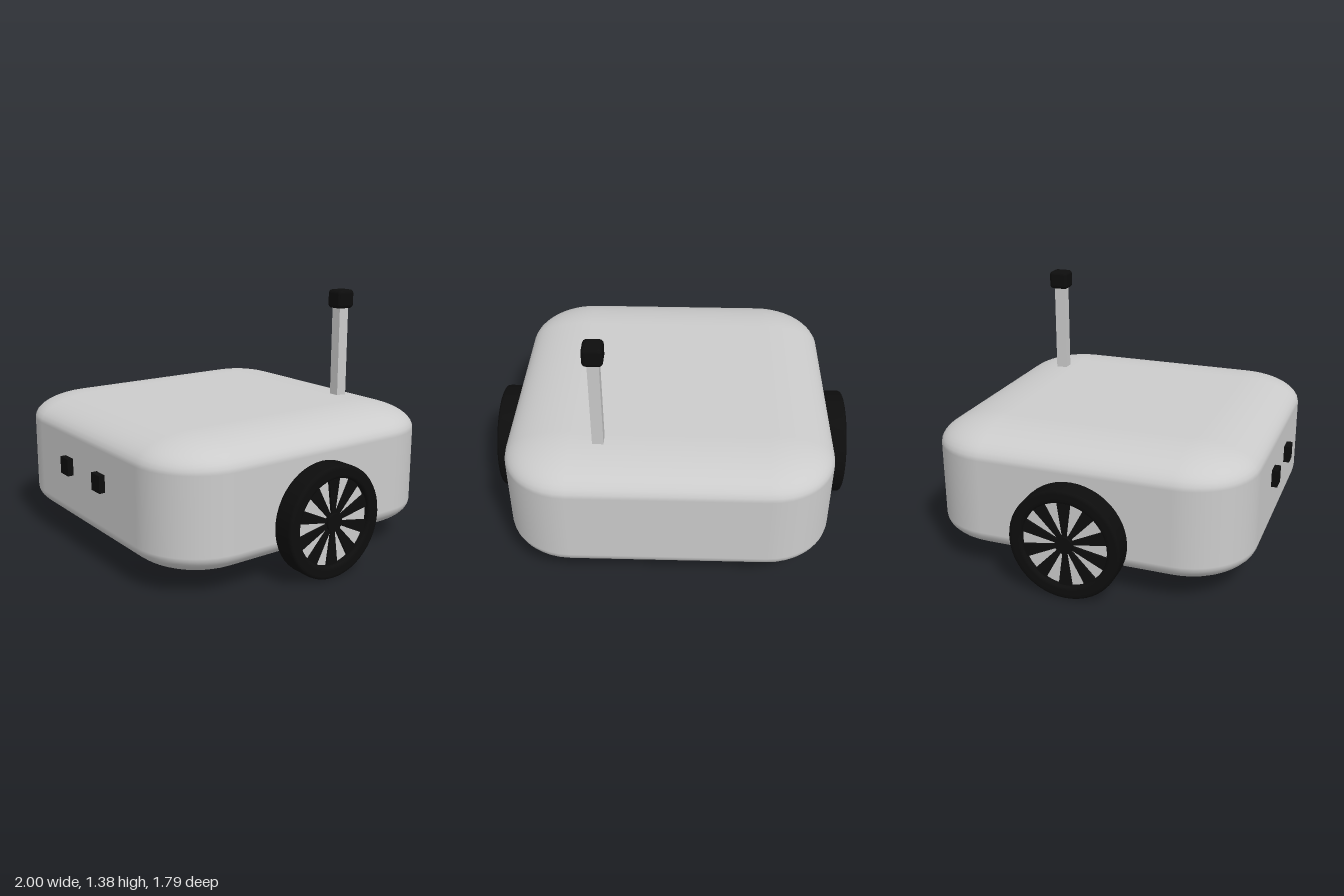
import * as THREE from 'three';
import { RoundedBoxGeometry } from 'three/addons/geometries/RoundedBoxGeometry.js';

const grey = new THREE.MeshStandardMaterial({ color: 0xcccccc });
const black = new THREE.MeshStandardMaterial({ color: 0x0d0d0d });

function part(parent, name, geometry, material, x = 0, y = 0, z = 0) {
  const mesh = new THREE.Mesh(geometry, material);
  mesh.name = name;
  mesh.position.set(x, y, z);
  parent.add(mesh);
  return mesh;
}

// Wheel built around its own z axis, outer face towards +z
function makeWheel(name) {
  const wheel = new THREE.Group();
  wheel.name = name;
  const half = 0.0625, inner = 0.23, outer = 0.3, r = 0.02;

  // Tyre: closed rectangular section with rounded corners
  const section = new THREE.Shape();
  section.moveTo(inner, -half + r);
  section.quadraticCurveTo(inner, -half, inner + r, -half);
  section.lineTo(outer - r, -half);
  section.quadraticCurveTo(outer, -half, outer, -half + r);
  section.lineTo(outer, half - r);
  section.quadraticCurveTo(outer, half, outer - r, half);
  section.lineTo(inner + r, half);
  section.quadraticCurveTo(inner, half, inner, half - r);
  section.lineTo(inner, -half + r);
  const tyre = new THREE.LatheGeometry(section.getPoints(4), 48);
  tyre.rotateX(Math.PI / 2);
  part(wheel, 'tyre', tyre, black);

  // Rim disc behind the spokes
  const disc = new THREE.CylinderGeometry(0.24, 0.24, 0.06, 48);
  disc.rotateX(Math.PI / 2);
  part(wheel, 'rimDisc', disc, grey);

  // Tapered spokes, standing proud on both faces of the disc
  const spoke = new THREE.Shape();
  spoke.moveTo(0.02, -0.007);
  spoke.lineTo(0.24, -0.037);
  spoke.lineTo(0.24, 0.037);
  spoke.lineTo(0.02, 0.007);
  spoke.closePath();
  const spokeGeo = new THREE.ExtrudeGeometry(spoke, { depth: 0.086, bevelEnabled: false });
  spokeGeo.translate(0, 0, -0.043);
  for (let i = 0; i < 10; i++) {
    part(wheel, 'spoke', spokeGeo, black).rotation.z = Math.PI / 2 + (i * Math.PI) / 5;
  }

  // Hub
  const hub = new THREE.CylinderGeometry(0.047, 0.047, 0.11, 24);
  hub.rotateX(Math.PI / 2);
  part(wheel, 'hub', hub, black);
  return wheel;
}

export function createModel() {
  const model = new THREE.Group();
  model.name = 'rover';

  // Body: rounded cube flattened in height
  const body = new RoundedBoxGeometry(1.76, 1.76, 1.76, 6, 0.36);
  body.scale(1, 0.695 / 1.76, 1);
  part(model, 'body', body, grey, 0, 0.4275, -0.02);

  // Wheels and front sensors, mirrored left and right
  for (const side of [1, -1]) {
    const label = side > 0 ? 'left' : 'right';
    const wheel = makeWheel(label + 'Wheel');
    wheel.rotation.y = (side * Math.PI) / 2;
    wheel.position.set(side * 0.9375, 0.3, -0.018);
    model.add(wheel);
    part(model, label + 'Sensor', new THREE.BoxGeometry(0.085, 0.094, 0.08), black, side * 0.177, 0.465, 0.853);
  }

  // Mast with rounded cap
  part(model, 'mast', new THREE.BoxGeometry(0.06, 0.6, 0.064), grey, 0.368, 1.0, -0.6);
  part(model, 'mastCap', new RoundedBoxGeometry(0.106, 0.105, 0.114, 3, 0.022), black, 0.368, 1.326, -0.602);

  return model;
}
